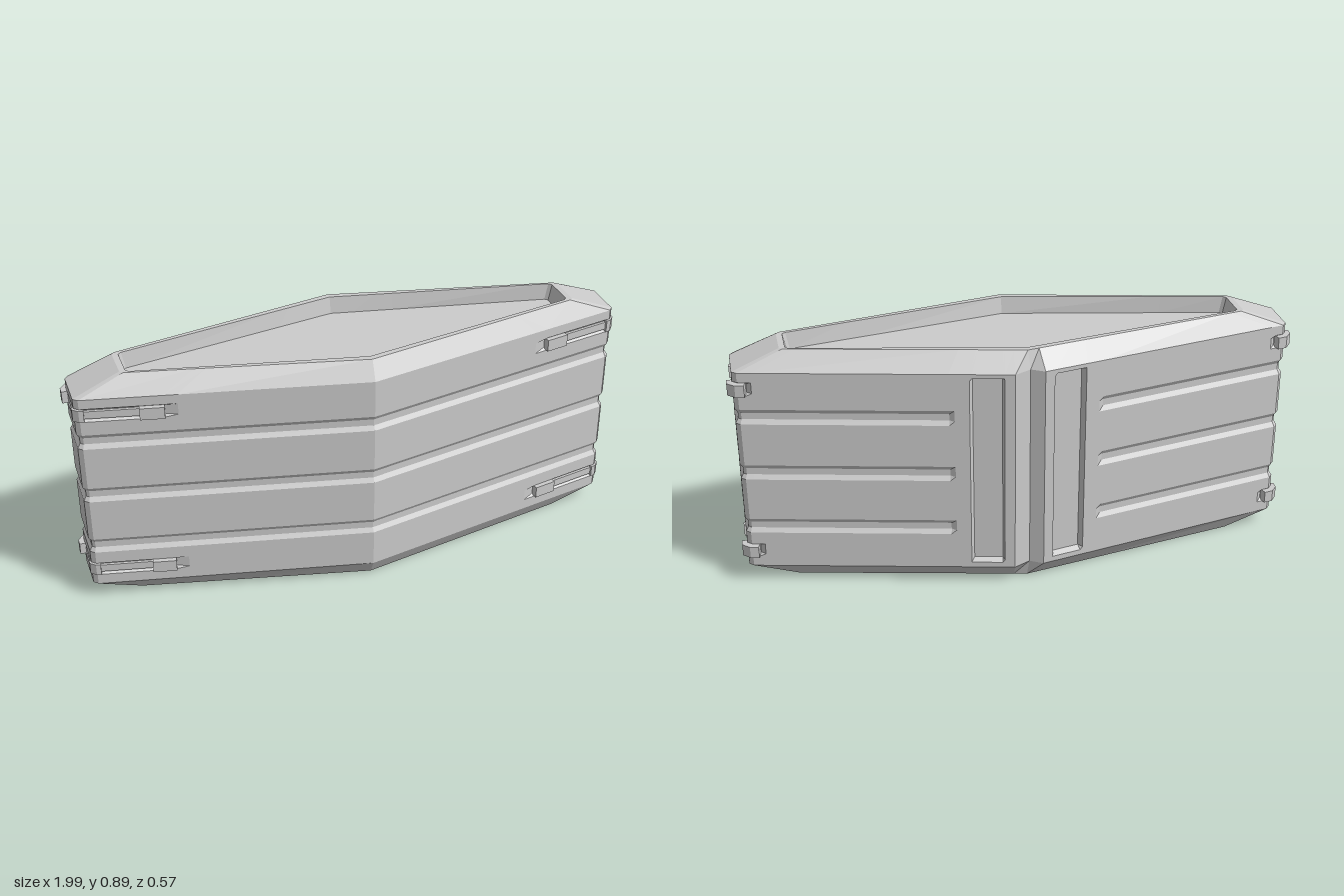
import * as THREE from 'three';

const material = new THREE.MeshStandardMaterial({ color: 0xcccccc, flatShading: true });

// Plan corners [x, z], running front apex -> left end -> back notch -> other end
const WALL = [[-0.015, 0.285], [0.96, 0.125], [0.975, 0.108], [0.98, -0.03], [0.965, -0.045],
  [0.065, -0.285], [0.005, -0.257], [-0.04, -0.285], [-0.96, -0.125], [-0.975, -0.108], [-0.98, 0.03], [-0.965, 0.045]];
const RIM = [[-0.01, 0.245], [0.8, 0.11], [0.812, 0.1], [0.815, -0.02], [0.805, -0.032],
  [0.055, -0.228], [0.01, -0.24], [-0.03, -0.234], [-0.8, -0.11], [-0.812, -0.1], [-0.815, 0.02], [-0.805, 0.032]];
const scaled = (plan, sx, sz) => plan.map(([x, z]) => [x * sx, z * sz]);
const OPENING = scaled(RIM, 0.975, 0.91);
const FLOOR = scaled(RIM, 0.96, 0.86);

// Point at fraction t of edge e of a plan, moved outward by d (mitred at corners)
function edgeNormal(plan, e) {
  const [ax, az] = plan[(e + 12) % 12], [bx, bz] = plan[(e + 13) % 12];
  return new THREE.Vector2(az - bz, bx - ax).normalize();
}
function pointAt(plan, e, t, d = 0) {
  const a = plan[e], b = plan[(e + 1) % 12];
  const n = edgeNormal(plan, e);
  if (t === 0) {
    const own = n.clone();
    n.add(edgeNormal(plan, e - 1)).normalize();
    n.divideScalar(n.dot(own));
  }
  return [a[0] + (b[0] - a[0]) * t + n.x * d, a[1] + (b[1] - a[1]) * t + n.y * d];
}
const mirrorAt = (e, t) => (t ? [11 - e, 1 - t] : [(12 - e) % 12, 0]);

// Height profiles of the sunken features: [y, amount]
const trapezoids = (centres, outer, inner) => centres.flatMap(c =>
  [[c - outer, 0], [c - inner, 1], [c + inner, 1], [c + outer, 0]]);
const GROOVES = trapezoids([0.23, 0.445, 0.66], 0.028, 0.012);
const CHANNELS = trapezoids([0.13, 0.765], 0.025, 0.016);
const SLOT = trapezoids([0.4475], 0.3625, 0.352);
function amount(profile, y) {
  for (let i = 1; i < profile.length; i++) {
    const [y0, v0] = profile[i - 1], [y1, v1] = profile[i];
    if (y >= y0 && y <= y1) return v0 + (v1 - v0) * (y - y0) / (y1 - y0);
  }
  return 0;
}

// Samples round half the wall: [edge, t, groove, strap channel, slot]
const half = [
  [0, 0, 1, 0, 0], [0, 0.67, 1, 0, 0], [0, 0.72, 1, 1, 0],
  [1, 0, 1, 1, 0], [2, 0, 1, 1, 0], [3, 0, 1, 1, 0], [4, 0, 1, 1, 0],
  [4, 0.03, 1, 1, 0], [4, 0.05, 1, 0, 0], [4, 0.76, 1, 0, 0], [4, 0.78, 0, 0, 0],
  [4, 0.835, 0, 0, 0], [4, 0.845, 0, 0, 1], [4, 0.953, 0, 0, 1], [4, 0.962, 0, 0, 0],
  [5, 0, 0, 0, 0], [6, 0, 0, 0, 0],
];
const samples = [...half, ...half.slice(1, -1).reverse().map(([e, t, ...f]) => [...mirrorAt(e, t), ...f])];

function ring(plan, y, carved = false) {
  return samples.map(([e, t, g, s, p]) => {
    const depth = carved ? Math.max(g * 0.01 * amount(GROOVES, y), s * 0.012 * amount(CHANNELS, y),
      p * 0.022 * amount(SLOT, y)) : 0;
    const [x, z] = pointAt(plan, e, t, -depth);
    return [x, y, z];
  });
}

// Body lofted from the bottom recess, over the wall, to the top recess
function bodyGeometry() {
  const levels = [0.065, 0.825, ...[GROOVES, CHANNELS, SLOT].flat().map(k => k[0])].sort((a, b) => a - b);
  const rings = [
    ring(FLOOR, 0.06), ring(OPENING, 0), ring(RIM, 0),
    ...levels.map(y => ring(WALL, y, true)),
    ring(RIM, 0.89), ring(OPENING, 0.89), ring(FLOOR, 0.83),
  ];
  const n = samples.length, pos = [];
  const tri = (a, b, c) => pos.push(...a, ...b, ...c);
  for (let i = 0; i < n; i++) {
    const j = (i + 1) % n;
    for (let k = 0; k + 1 < rings.length; k++) {
      const lo = rings[k], hi = rings[k + 1];
      tri(lo[i], lo[j], hi[j]);
      tri(lo[i], hi[j], hi[i]);
    }
    const first = rings[0], last = rings[rings.length - 1];
    tri([0, 0.06, 0], first[j], first[i]);
    tri([0, 0.83, 0], last[i], last[j]);
  }
  const geometry = new THREE.BufferGeometry();
  geometry.setAttribute('position', new THREE.Float32BufferAttribute(pos, 3));
  geometry.computeVertexNormals();
  return geometry;
}

// Band following the wall, between two offsets from it
function band(name, path, inner, outer, height, y) {
  const outline = [
    ...path.map(([e, t]) => pointAt(WALL, e, t, outer)),
    ...path.map(([e, t]) => pointAt(WALL, e, t, inner)).reverse(),
  ];
  const shape = new THREE.Shape(outline.map(([x, z]) => new THREE.Vector2(x, -z)));
  const geometry = new THREE.ExtrudeGeometry(shape, { depth: height, bevelEnabled: false });
  geometry.rotateX(-Math.PI / 2).translate(0, y - height / 2, 0);
  const mesh = new THREE.Mesh(geometry, material);
  mesh.name = name;
  return mesh;
}

export function createModel() {
  const model = new THREE.Group();
  model.name = 'container';
  const body = new THREE.Mesh(bodyGeometry(), material);
  body.name = 'body';
  model.add(body);

  // Corner straps: front tab, thin strip, corner block and back hook
  const parts = [
    ['frontTab', [[0, 0.715], [0, 0.8]], 0.014, 0.044],
    ['strip', [[0, 0.8], [1, 0], [2, 0], [3, 0], [4, 0]], -0.002, 0.028],
    ['cornerBlock', [[0, 0.985], [1, 0], [2, 0], [2, 0.1]], 0.006, 0.044],
    ['backHook', [[2, 0.86], [3, 0], [4, 0], [4, 0.028]], 0.019, 0.044],
  ];
  for (const left of [true, false]) {
    for (const y of [0.13, 0.765]) {
      const strap = new THREE.Group();
      strap.name = (left ? 'left' : 'right') + (y > 0.5 ? 'Upper' : 'Lower') + 'Strap';
      for (const [name, path, outer, height] of parts) {
        const route = left ? path : path.map(([e, t]) => mirrorAt(e, t));
        strap.add(band(name, route, -0.016, outer, height, y));
      }
      model.add(strap);
    }
  }
  return model;
}
